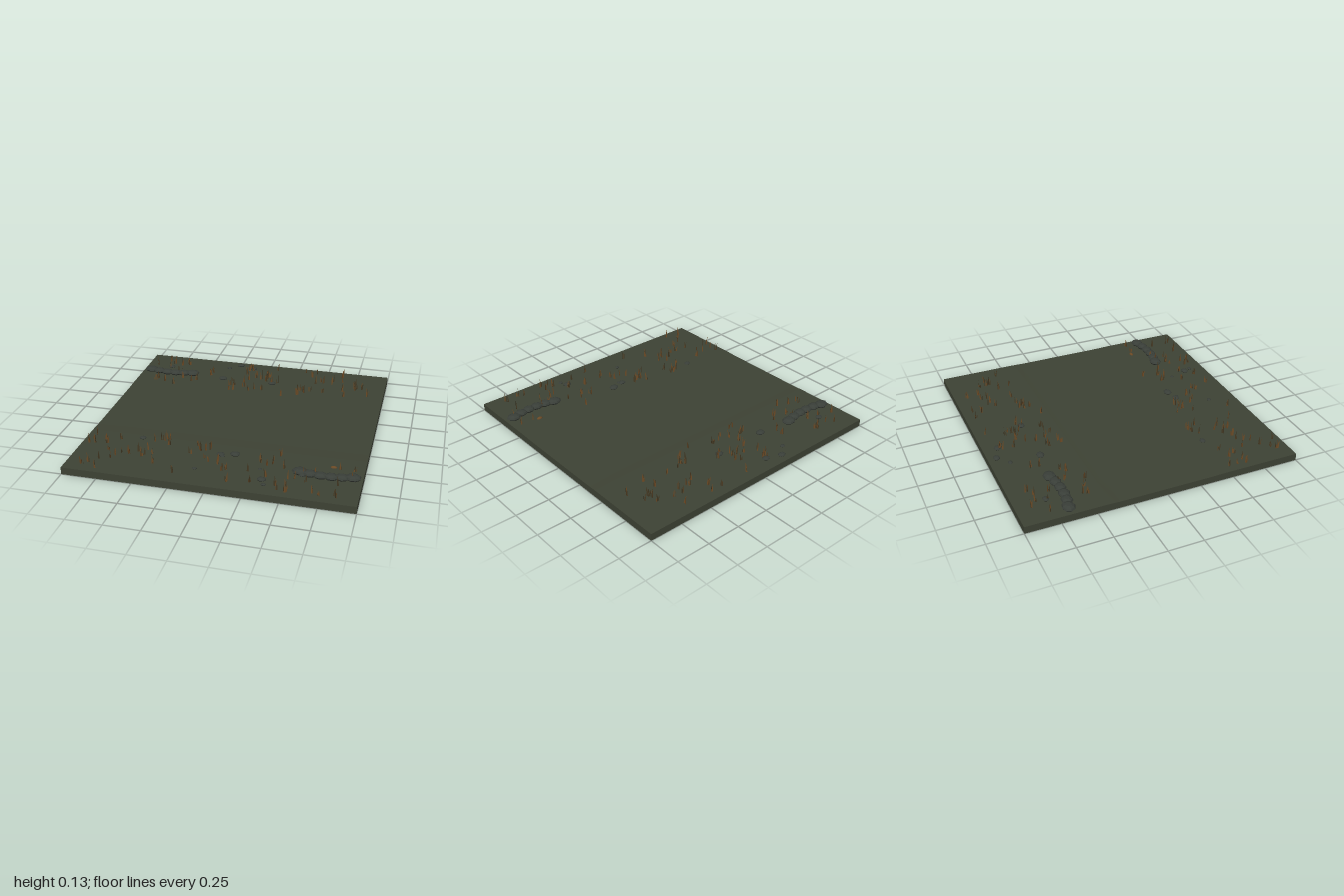
import * as THREE from 'three';
import { mergeGeometries } from 'three/addons/utils/BufferGeometryUtils.js';

const GROUND = 0.05;

// small seeded generator
function seeded(seed) {
  return () => {
    seed = (seed * 1664525 + 1013904223) % 4294967296;
    return seed / 4294967296;
  };
}

function material(name, color, options = {}) {
  const m = new THREE.MeshStandardMaterial({ color, ...options });
  m.name = name;
  return m;
}

// square slab whose top dips very slightly along the middle lane
function groundGeometry() {
  const g = new THREE.BoxGeometry(2, GROUND, 2, 8, 1, 40);
  g.translate(0, GROUND / 2, 0);
  const p = g.attributes.position;
  for (let i = 0; i < p.count; i++) {
    if (p.getY(i) < 0.01) continue;
    const bank = THREE.MathUtils.smoothstep(Math.abs(p.getZ(i)), 0.33, 0.43);
    p.setY(i, GROUND - 0.001 + 0.003 * bank);
  }
  g.computeVertexNormals();
  return g;
}

// squat faceted stone with a pointed waist and a small flat top
function stoneGeometry(x, z, r, height, turn) {
  const profile = [[0.75, 0], [1, 0.4], [0.85, 0.72], [0.42, 0.98], [0, 1]]
    .map(([a, b]) => new THREE.Vector2(a * r, b * height));
  const g = new THREE.LatheGeometry(profile, 8);
  g.rotateY(turn);
  g.scale(1, 1, 0.82);
  g.translate(x, GROUND, z);
  return g;
}

// one tuft: upright tapering blades standing in crossed vertical planes
function tuftBlades(x, z, rand, lists) {
  const count = 3 + Math.floor(rand() * 3);
  for (let i = 0; i < count; i++) {
    const a = rand() * Math.PI * 2;
    const dx = Math.cos(a), dz = Math.sin(a);
    const bx = x + (rand() - 0.5) * 0.016, bz = z + (rand() - 0.5) * 0.016;
    const h = 0.03 + rand() * 0.05, w = 0.004 + rand() * 0.002;
    const lean = (rand() - 0.5) * 0.024;
    const at = (s, y) => [bx + dx * s, GROUND + y, bz + dz * s];
    const low = [at(-w, 0), at(w, 0)];
    const mid = [at(lean * 0.4 - w * 0.8, h * 0.55), at(lean * 0.4 + w * 0.8, h * 0.55)];
    const tip = at(lean, h);
    const list = lists[rand() < 0.6 ? 0 : 1];
    for (const v of [low[0], low[1], mid[1], low[0], mid[1], mid[0], mid[0], mid[1], tip]) list.push(...v);
  }
}

export function createModel() {
  const group = new THREE.Group();
  const soil = material('mossy soil', 0x3d4234);
  const rock = material('dark stone', 0x393e38, { flatShading: true });
  const dryGrass = material('dry grass', 0x6b4a26, { side: THREE.DoubleSide });
  const darkGrass = material('withered grass', 0x453a24, { side: THREE.DoubleSide });
  const add = (name, geometry, mat) => {
    const mesh = new THREE.Mesh(geometry, mat);
    mesh.name = name;
    group.add(mesh);
  };

  add('ground', groundGeometry(), soil);

  // two bowed rows of overlapping stones in opposite corners
  for (const [name, cx, cz, bow] of [['backStoneRow', -0.755, -0.652, -1], ['frontStoneRow', 0.755, 0.7, -1]]) {
    const stones = [];
    for (let i = 0; i < 6; i++) {
      const t = (i - 2.5) / 2.5;
      const r = Math.abs(t) === 1 ? 0.056 : 0.05;
      stones.push(stoneGeometry(cx + t * 0.178, cz + bow * 0.025 * t * t, r, 0.036, i * 0.4));
    }
    add(name, mergeGeometries(stones), rock);
  }

  // scattered stones: x, z, radius
  const scattered = [
    [-0.79, -0.78, 0.028], [-0.31, -0.865, 0.02], [-0.225, -0.937, 0.03], [-0.11, -0.897, 0.03],
    [-0.31, -0.647, 0.035], [0.1, -0.65, 0.032], [-0.6, 0.475, 0.026], [0.003, 0.572, 0.03],
    [0.02, 0.59, 0.017], [0.1, 0.55, 0.037], [-0.12, 0.795, 0.018], [0.31, 0.697, 0.014],
    [0.35, 0.83, 0.032], [0.375, 0.886, 0.019], [0.6, 0.71, 0.022],
  ];
  add('scatteredStones', mergeGeometries(scattered.map(([x, z, r], i) =>
    stoneGeometry(x, z, r, r * 0.65, i * 0.7))), rock);

  // grass along both banks: loose patches plus single tufts
  const rand = seeded(71);
  const lists = [[], []];
  const patches = [
    [-0.85, 0.57], [-0.49, 0.47], [-0.6, 0.68], [0, 0.68], [-0.14, 0.6], [0.37, 0.58], [0.45, 0.85], [0.75, 0.88],
    [-0.8, -0.8], [-0.65, -0.55], [-0.08, -0.8], [0.1, -0.72], [0.42, -0.6], [0.71, -0.69], [0.5, -0.85], [-0.15, -0.55],
  ];
  for (const [px, pz] of patches) {
    for (let i = 0; i < 5; i++) {
      const x = px + (rand() - 0.5) * 0.24, z = pz + (rand() - 0.5) * 0.2;
      const depth = THREE.MathUtils.clamp(Math.abs(z), 0.42, 0.95);
      tuftBlades(THREE.MathUtils.clamp(x, -0.95, 0.95), Math.sign(z) * depth, rand, lists);
    }
  }
  for (const side of [-1, 1]) {
    for (let i = 0; i < 28; i++) {
      tuftBlades(-0.94 + rand() * 1.88, side * (0.42 + rand() * 0.53), rand, lists);
    }
  }
  [['dryGrassBlades', dryGrass], ['witheredGrassBlades', darkGrass]].forEach(([name, mat], i) => {
    const g = new THREE.BufferGeometry();
    g.setAttribute('position', new THREE.Float32BufferAttribute(lists[i], 3));
    g.computeVertexNormals();
    add(name, g, mat);
  });

  // small dry clump by the front stone row
  const clump = new THREE.SphereGeometry(0.024, 8, 4, 0, Math.PI * 2, 0, Math.PI / 2);
  clump.scale(1, 0.6, 0.6);
  clump.translate(0.788, GROUND, 0.555);
  add('dryClump', clump, dryGrass);

  return group;
}
